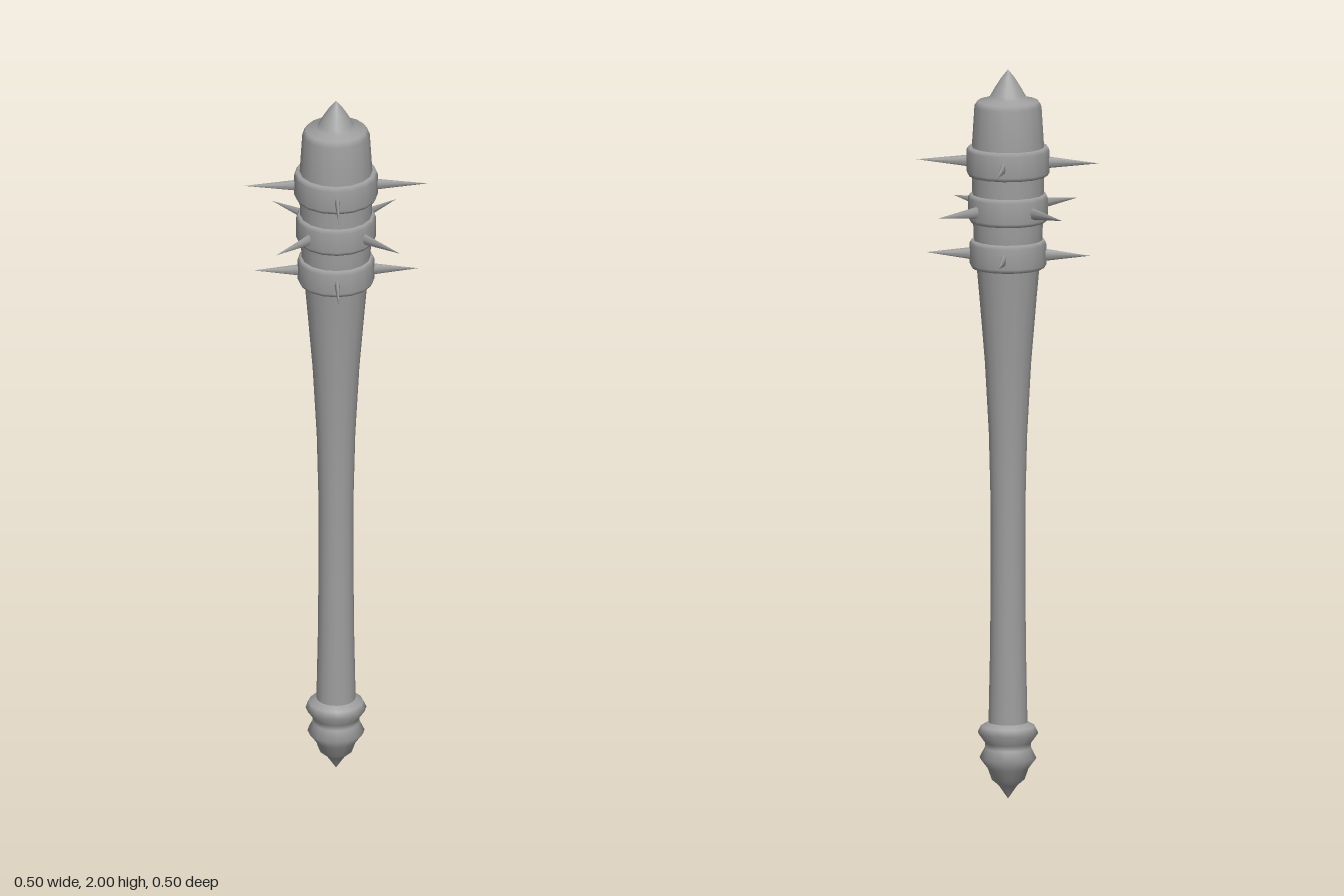
import * as THREE from 'three';

const SIDES = 16;

export function createModel() {
  const club = new THREE.Group();
  club.name = 'spikedClub';
  const material = new THREE.MeshStandardMaterial({ color: 0x9e9e9e });

  // Smooth turned part from [radius, height] pairs, listed bottom to top
  function turned(name, profile) {
    const points = profile.map(([r, y]) => new THREE.Vector2(r, y));
    const mesh = new THREE.Mesh(new THREE.LatheGeometry(points, SIDES), material);
    mesh.name = name;
    club.add(mesh);
  }

  // Pommel with two flared collars and a small pointed end
  turned('pommel', [
    [0, 0], [0.012, 0.018], [0.026, 0.038], [0.045, 0.054], [0.056, 0.085],
    [0.077, 0.113], [0.063, 0.14], [0.063, 0.155], [0.082, 0.182],
    [0.073, 0.2], [0.05, 0.212],
  ]);

  // Shaft, widening towards the head
  turned('shaft', [
    [0.053, 0.205], [0.049, 0.4], [0.047, 0.6], [0.047, 0.8],
    [0.052, 1.0], [0.063, 1.2], [0.078, 1.38], [0.087, 1.48],
  ]);

  // Head, running smoothly over its shoulder into a pointed finial
  turned('head', [
    [0.08, 1.47], [0.09, 1.475], [0.094, 1.56], [0.098, 1.7], [0.098, 1.79],
    [0.091, 1.9], [0.082, 1.914], [0.053, 1.92], [0.046, 1.932],
    [0.034, 1.953], [0.018, 1.978], [0, 2],
  ]);

  // One spike, pointing along +x
  const spikeShape = new THREE.ConeGeometry(1, 1, 8, 1);
  spikeShape.translate(0, 0.5, 0).rotateZ(-Math.PI / 2);

  // Bands around the head, each with four spikes
  const bands = [
    { name: 'lowerBand', y: 1.496, r: 0.104, h: 0.076, tip: 0.222, turn: 0 },
    { name: 'middleBand', y: 1.622, r: 0.108, h: 0.076, tip: 0.237, turn: Math.PI / 4 },
    { name: 'upperBand', y: 1.75, r: 0.113, h: 0.078, tip: 0.248, turn: 0 },
  ];
  for (const { name, y, r, h, tip, turn } of bands) {
    const b = y - h / 2, t = y + h / 2;
    turned(name, [
      [0.08, b], [r - 0.006, b], [r, b + 0.01], [r, t - 0.01], [r - 0.006, t], [0.08, t],
    ]);
    for (let i = 0; i < 4; i++) {
      const spike = new THREE.Mesh(spikeShape, material);
      spike.name = name + 'Spike';
      // Taller than wide at the root
      spike.scale.set(tip - 0.09, 0.018, 0.008);
      const angle = turn + i * Math.PI / 2;
      spike.rotation.y = angle;
      spike.position.set(0.09 * Math.cos(angle), y - 0.002, -0.09 * Math.sin(angle));
      club.add(spike);
    }
  }
  return club;
}
